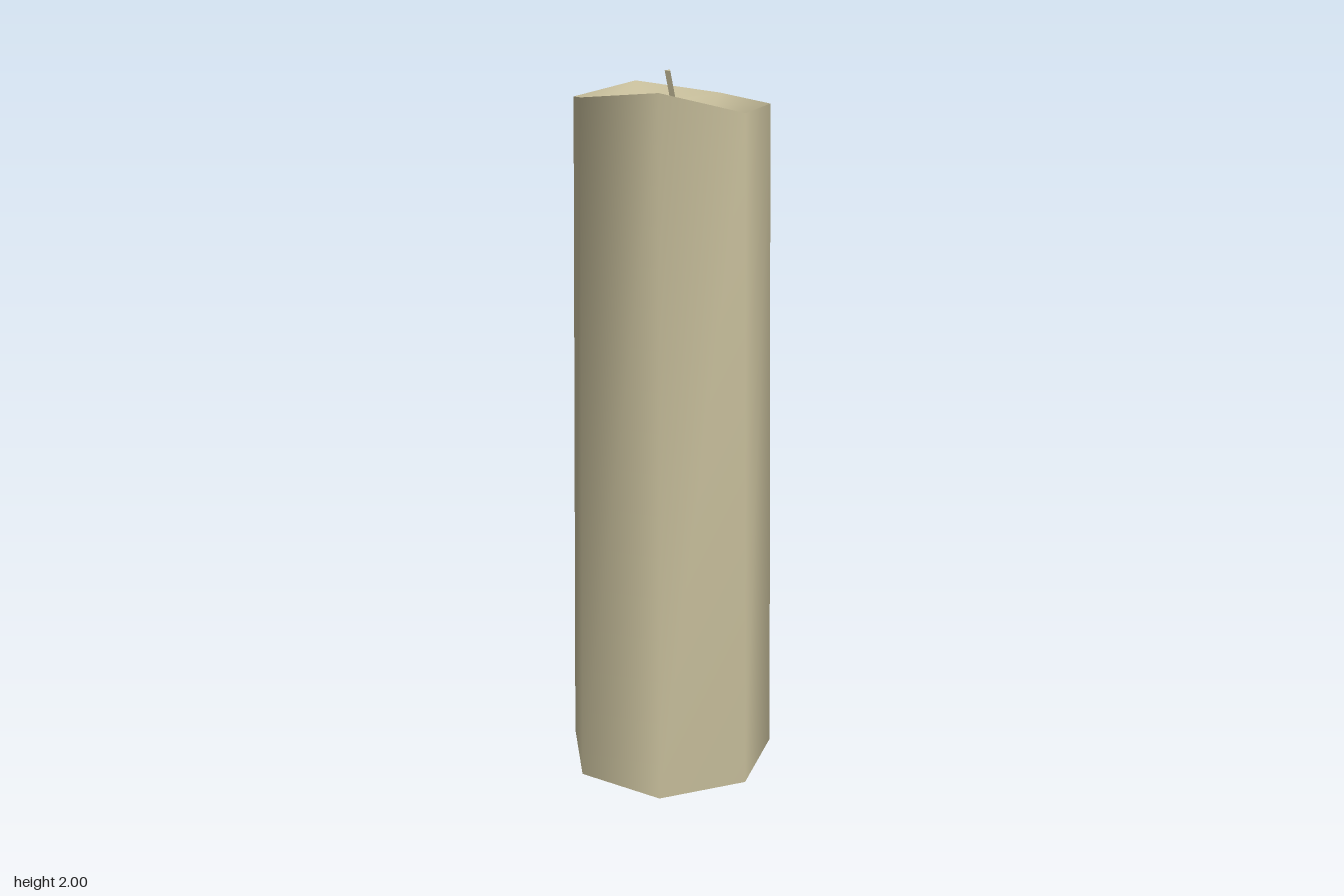
import * as THREE from 'three';
import { toCreasedNormals } from 'three/addons/utils/BufferGeometryUtils.js';

const SIDES = 7;
const CENTRE_X = -0.015;

// One seven-sided ring, starting at +x and turning towards +z
function ring(radius, heights) {
  return heights.map((y, i) => {
    const a = (i / SIDES) * Math.PI * 2;
    return [CENTRE_X + radius * Math.cos(a), y, radius * Math.sin(a)];
  });
}

// Joins rings bottom to top and caps the first and last ring
function loft(rings, crease) {
  const pos = [];
  const tri = (a, b, c) => pos.push(...a, ...b, ...c);
  const n = rings[0].length;
  for (let r = 0; r < rings.length - 1; r++) {
    const A = rings[r], B = rings[r + 1];
    for (let i = 0; i < n; i++) {
      const j = (i + 1) % n;
      tri(A[i], B[i], A[j]);
      tri(B[i], B[j], A[j]);
    }
  }
  const first = rings[0], last = rings[rings.length - 1];
  for (let i = 1; i < n - 1; i++) {
    tri(first[0], first[i], first[i + 1]);
    tri(last[0], last[i + 1], last[i]);
  }
  const g = new THREE.BufferGeometry();
  g.setAttribute('position', new THREE.Float32BufferAttribute(pos, 3));
  return toCreasedNormals(g, crease);
}

export function createModel() {
  const group = new THREE.Group();
  group.name = 'candle';
  const wax = new THREE.MeshStandardMaterial({ color: 0xc8bf9c });
  wax.name = 'wax';

  // Tapered wax body with an uneven rim and a shallow melted hollow
  const base = ring(0.302, Array(SIDES).fill(0));
  const rim = ring(0.27, [1.925, 1.99, 1.958, 1.92, 1.935, 1.905, 1.91]);
  const hollow = ring(0.236, Array(SIDES).fill(1.875));
  hollow[1] = [0.13, 1.91, 0.153];
  const body = new THREE.Mesh(loft([base, rim, hollow], 0.93), wax);
  body.name = 'waxBody';
  group.add(body);

  // Thin three-sided wick leaning to -x
  const wickRing = (dx, y) => [[-0.016, -0.005], [-0.037, -0.005], [-0.037, -0.025]]
    .map(([x, z]) => [x + dx, y, z]);
  const wick = new THREE.Mesh(loft([wickRing(0.035, 1.87), wickRing(0, 2)], 0.6), wax);
  wick.name = 'wick';
  group.add(wick);

  return group;
}
